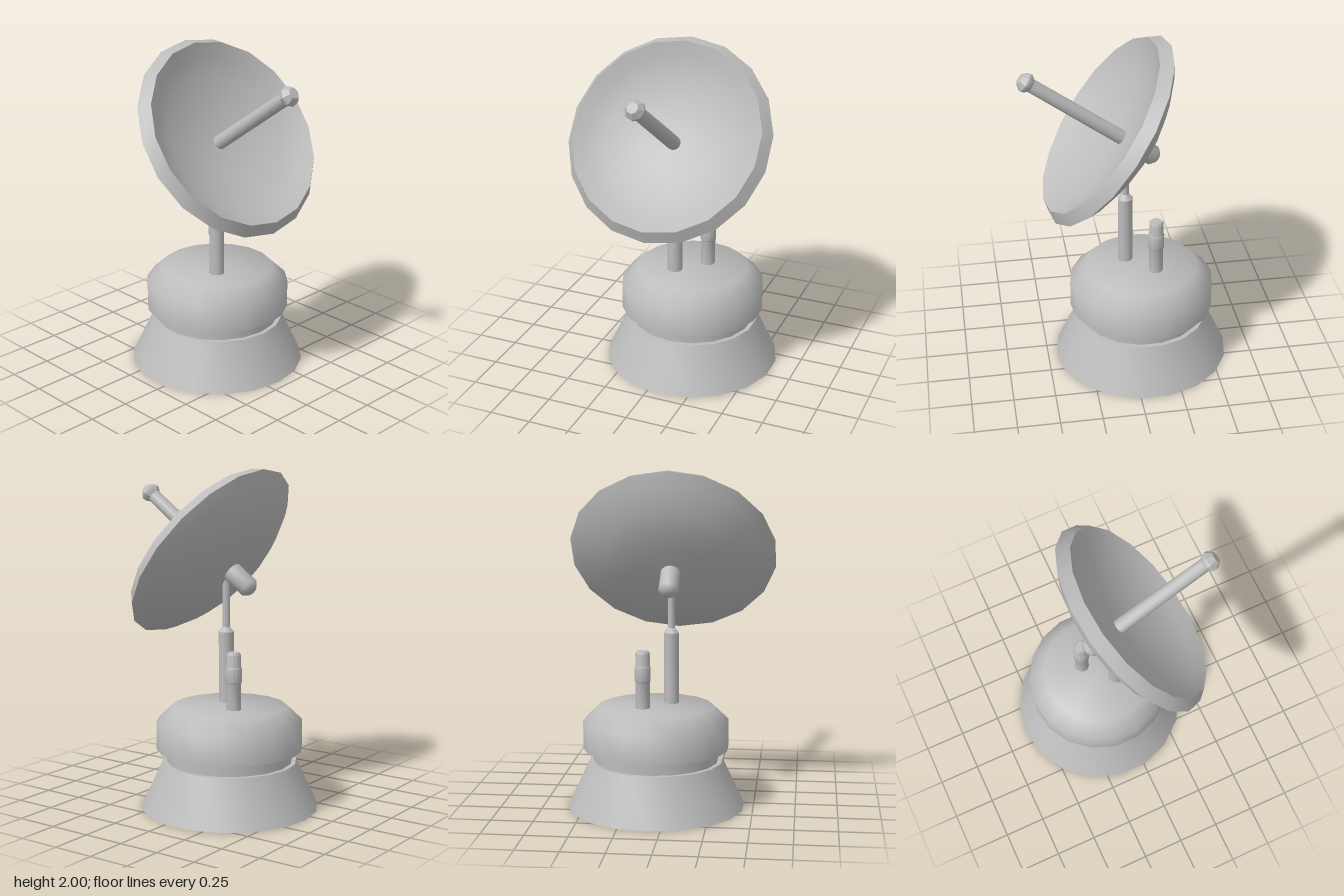
import * as THREE from 'three';
import { toCreasedNormals } from 'three/addons/utils/BufferGeometryUtils.js';

const grey = new THREE.MeshStandardMaterial({ color: 0xbcbcbc });
grey.name = 'light grey metal';

// Turned part from [radius, height] pairs, listed from bottom to top
function turned(name, profile, sides, crease = 0.6) {
  const points = profile.map(([r, h]) => new THREE.Vector2(r, h));
  const geometry = toCreasedNormals(new THREE.LatheGeometry(points, sides), crease);
  const mesh = new THREE.Mesh(geometry, grey);
  mesh.name = name;
  return mesh;
}

export function createModel() {
  const model = new THREE.Group();
  model.name = 'satelliteDish';

  // Pedestal, offset from the mast
  const pedestal = new THREE.Group();
  pedestal.name = 'pedestal';
  pedestal.position.set(0.083, 0, -0.083);
  pedestal.add(
    turned('flaredFoot', [[0, 0], [0.53, 0], [0.4, 0.28], [0, 0.28]], 18),
    turned('neck', [[0.373, 0.27], [0.373, 0.365]], 18),
    turned('drum', [[0, 0.355], [0.434, 0.355], [0.434, 0.52], [0.34, 0.61], [0, 0.61]], 18, 0.95)
  );
  model.add(pedestal);

  // Stepped mast carrying the dish
  model.add(turned('mast', [
    [0.045, 0.6], [0.045, 1.035], [0.021, 1.065], [0.021, 1.4]
  ], 12));

  // Short side antenna with a thicker collar
  const antenna = turned('sideAntenna', [
    [0.043, 0.6], [0.043, 0.765], [0.048, 0.775], [0.048, 0.855],
    [0.043, 0.865], [0.043, 0.935], [0.035, 0.95], [0, 0.95]
  ], 12);
  antenna.position.set(0.153, 0, -0.162);
  model.add(antenna);

  // Tilted head: local y is the dish axis, local origin the widest rim
  const head = new THREE.Group();
  head.name = 'dishHead';
  head.position.set(0, 1.5, 0.1);
  head.rotation.x = 0.945;
  head.add(
    turned('reflector', [
      [0, -0.18], [0.2, -0.168], [0.32, -0.15], [0.42, -0.119], [0.547, -0.053], [0.619, 0],
      [0.571, 0.066], [0.5, 0.02], [0.4, -0.03], [0.2, -0.085], [0, -0.1]
    ], 18),
    turned('feedArm', [[0.043, -0.11], [0.04, 0.54]], 12),
    turned('feedTip', [
      [0, 0.535], [0.04, 0.535], [0.06, 0.563], [0.06, 0.578], [0.033, 0.612], [0, 0.612]
    ], 8),
    turned('rearHousing', [[0, -0.354], [0.035, -0.352], [0.06, -0.325], [0.06, -0.15]], 12, 0.9)
  );
  model.add(head);

  return model;
}
